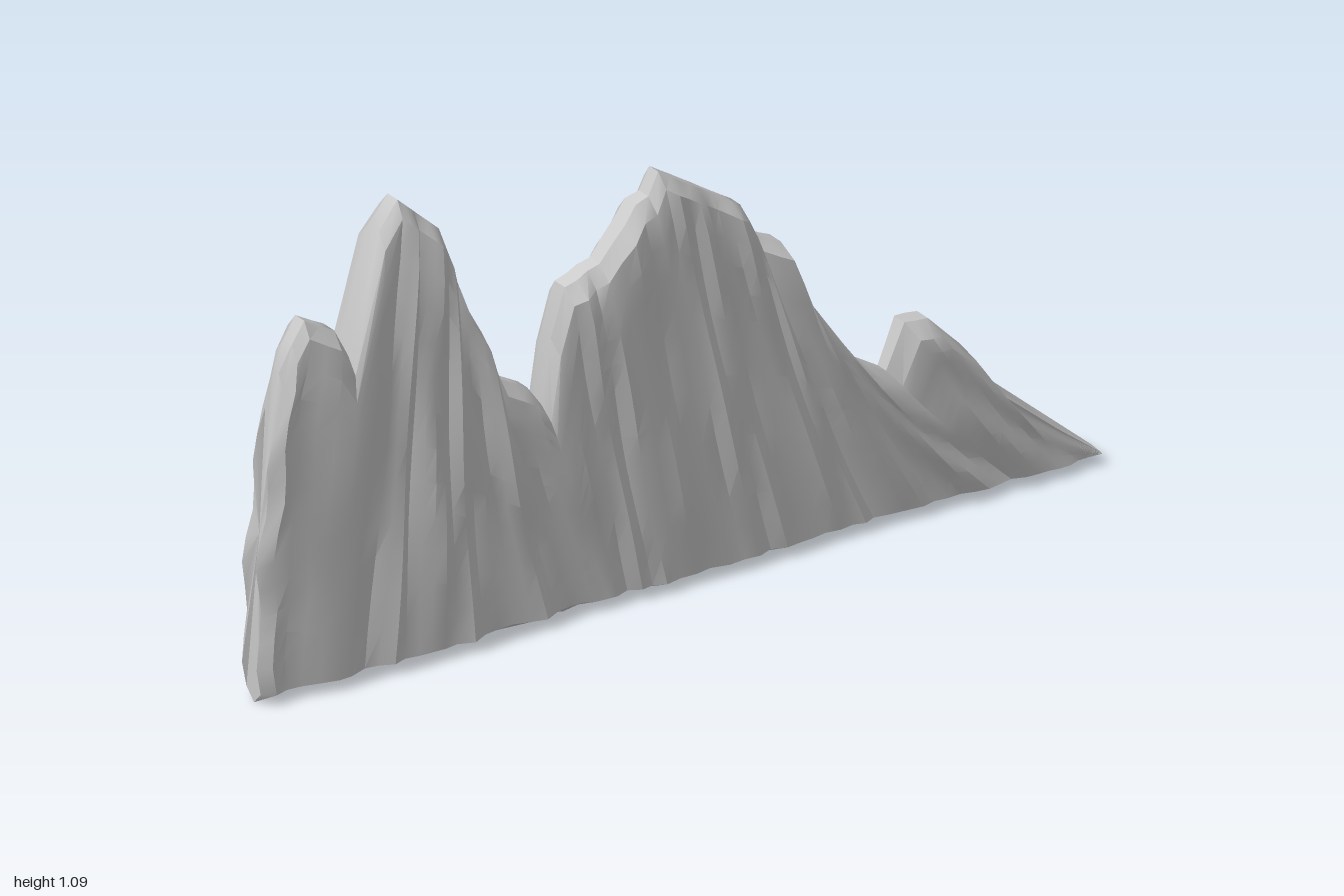
import * as THREE from 'three';
import { toCreasedNormals } from 'three/addons/utils/BufferGeometryUtils.js';

// Strata of the slab from left to right: [top x, top y, foot x]
const STRATA = [
  [-0.975, 0.76, -0.965], [-0.955, 0.82, -0.94], [-0.93, 0.87, -0.91], [-0.86, 0.83, -0.84], [-0.82, 0.76, -0.80],
  [-0.77, 1.03, -0.77], [-0.73, 1.09, -0.73], [-0.62, 0.99, -0.52], [-0.54, 0.79, -0.38],
  [-0.5, 0.72, -0.31], [-0.45, 0.60, -0.24], [-0.38, 0.56, -0.19], [-0.342, 0.51, -0.16],
  [-0.335, 0.66, -0.14], [-0.31, 0.77, -0.11], [-0.23, 0.80, -0.03], [-0.15, 0.91, 0.08],
  [-0.12, 0.92, 0.12], [-0.1, 0.97, 0.16], [0.1, 0.84, 0.42], [0.14, 0.76, 0.47],
  [0.2, 0.73, 0.54], [0.23, 0.65, 0.58], [0.33, 0.50, 0.67], [0.4, 0.40, 0.73],
  [0.49, 0.345, 0.79], [0.52, 0.45, 0.82], [0.58, 0.44, 0.87], [0.66, 0.36, 0.92],
  [0.71, 0.28, 0.945], [1, 0.03, 1],
];
const BASE = 0.025, ROWS = 12;

// Repeatable value in -1..1
const hash = (n) => {
  const s = Math.sin(n * 127.1 + 3.7) * 43758.5453;
  return 2 * (s - Math.floor(s)) - 1;
};
const lerp = THREE.MathUtils.lerp;

// Split wide strata into narrow columns
function makeColumns() {
  const columns = [];
  STRATA.forEach((a, i) => {
    const b = STRATA[i + 1];
    if (!b) return columns.push(a);
    const n = Math.max(1, Math.round((b[2] - a[2]) / 0.032));
    for (let k = 0; k < n; k++) columns.push(a.map((v, c) => lerp(v, b[c], k / n)));
  });
  return columns;
}

// Closed section of one column: up the front, over the crest, down the back, under the foot
function section([topX, topY, footX], i, count) {
  const height = topY - BASE;
  const shoulder = Math.max(0.5, 1 - 0.035 / height);
  const end = i === 0 ? 0.5 : i === 1 ? 0.85 : 1;
  const point = (v, side, width) => {
    const y = BASE + height * v;
    const edge = Math.max(0, 1 - (footX + 0.965) / 0.15);
    const x = lerp(footX, topX, v) - 0.15 * (footX - topX) * v * (1 - v)
      - edge * (0.022 * Math.sin(Math.PI * v) + 0.008 * Math.sin(v * 19));
    const fade = i > count - 4 ? 0.3 : 1;
    const ridge = 0.009 * hash(i * 2 + side) + 0.005 * Math.sin(v * 9 + i * 1.3 + side);
    const half = (0.05 + ridge * fade) * width * end;
    const z = -0.053 + 0.128 * y + 0.004 * Math.sin(footX * 9 + v * 3) * fade + side * half;
    return [x, y, z];
  };
  const ring = [];
  for (let j = 0; j <= ROWS; j++) ring.push(point(shoulder * j / ROWS, 1, j === ROWS ? 0.88 : 1));
  ring.push(point(1, 1, 0.35), point(1, -1, 0.35));
  for (let j = ROWS; j >= 0; j--) ring.push(point(shoulder * j / ROWS, -1, j === ROWS ? 0.88 : 1));
  // Rough keel under the foot
  ring.push([footX, 0.006 + 0.006 * hash(i + 50), -0.052 + 0.012 * hash(i + 90) * end]);
  return ring;
}

function slabGeometry() {
  const columns = makeColumns();
  const rings = columns.map((c, i) => section(c, i, columns.length));
  const size = rings[0].length, last = rings.length - 1;
  const positions = rings.flat(2), index = [];
  for (let i = 0; i < last; i++) {
    for (let j = 0; j < size; j++) {
      const k = (j + 1) % size;
      const a = i * size + j, b = a + size, c = (i + 1) * size + k, d = i * size + k;
      index.push(a, b, c, a, c, d);
    }
  }
  // End caps
  [0, last].forEach((i) => {
    const center = positions.length / 3;
    const mid = [0, 1, 2].map((c) => rings[i].reduce((s, p) => s + p[c], 0) / size);
    positions.push(...mid);
    for (let j = 0; j < size; j++) {
      const a = i * size + j, b = i * size + (j + 1) % size;
      index.push(center, i ? b : a, i ? a : b);
    }
  });
  const geometry = new THREE.BufferGeometry();
  geometry.setAttribute('position', new THREE.Float32BufferAttribute(positions, 3));
  geometry.setIndex(index);
  return toCreasedNormals(geometry, 0.55);
}

export function createModel() {
  const group = new THREE.Group();
  group.name = 'rockRidge';
  const material = new THREE.MeshStandardMaterial({ color: 0xcccccc });
  const slab = new THREE.Mesh(slabGeometry(), material);
  slab.name = 'rockSlab';
  group.add(slab);
  return group;
}
